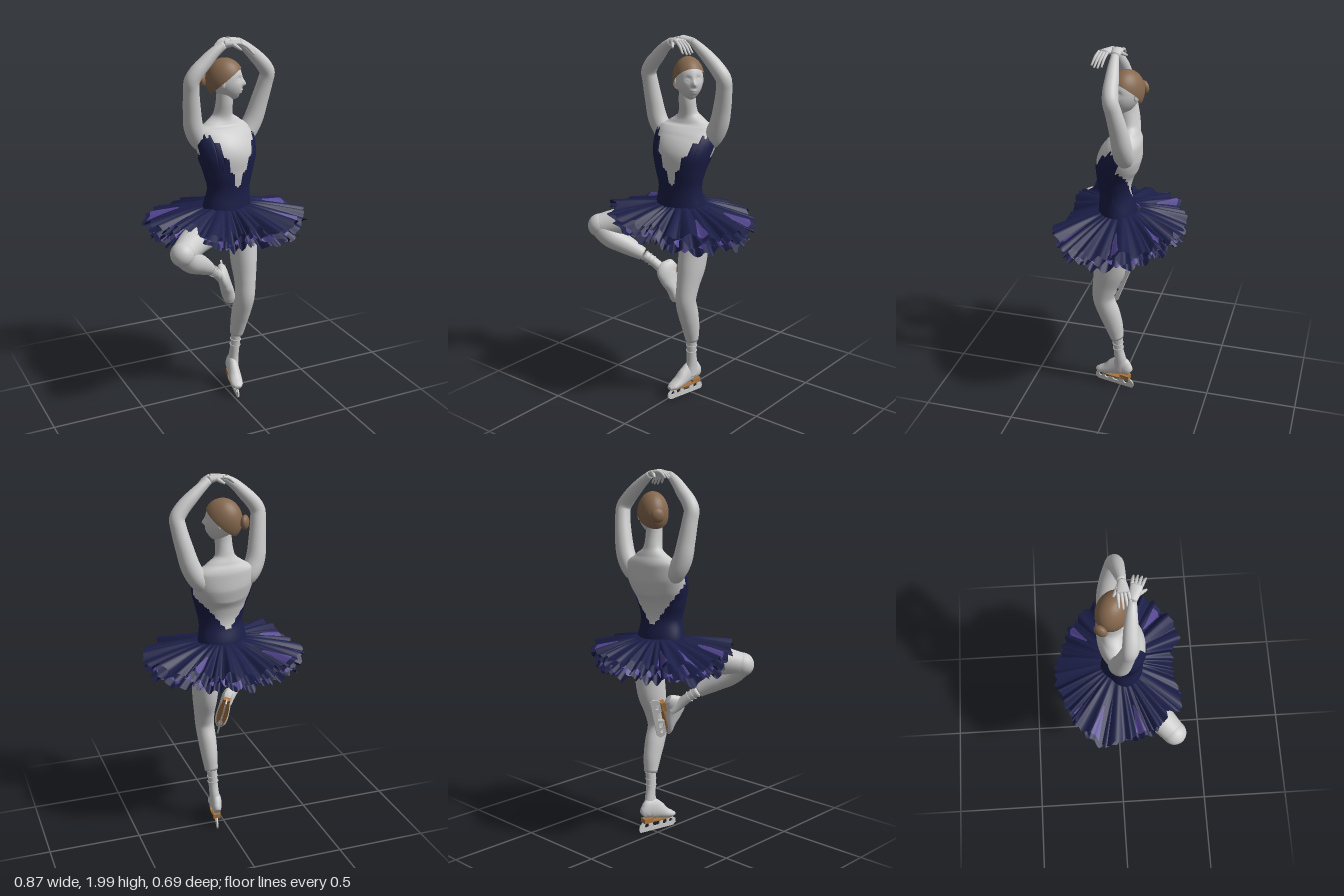
import * as THREE from 'three';
import { mergeVertices } from 'three/addons/utils/BufferGeometryUtils.js';

const V = (x, y, z) => new THREE.Vector3(x, y, z);
const paint = (color, side = THREE.FrontSide) => new THREE.MeshStandardMaterial({ color, side });
const grey = paint(0xcccccc), brown = paint(0xa9743f), hairMat = paint(0x86694f, THREE.DoubleSide);
const navy = paint(0x1b1e47, THREE.DoubleSide), purple = paint(0x51438f, THREE.DoubleSide);
const TAU = Math.PI * 2;
const bell = (d, w) => Math.exp(-(d * d) / (w * w));

function mesh(name, geo, mat, parent) {
  const m = new THREE.Mesh(geo, mat);
  m.name = name;
  parent.add(m);
  return m;
}

// Weld shared vertices and smooth the normals
function smooth(geo) {
  geo.deleteAttribute('uv');
  geo.deleteAttribute('normal');
  const g = mergeVertices(geo, 1e-5);
  g.computeVertexNormals();
  return g;
}

// Surface from a rule fn(u, v) -> Vector3
function grid(nu, nv, fn) {
  const pos = [], idx = [];
  for (let j = 0; j <= nv; j++)
    for (let i = 0; i <= nu; i++) pos.push(...fn(i / nu, j / nv).toArray());
  for (let j = 0; j < nv; j++)
    for (let i = 0; i < nu; i++) {
      const a = j * (nu + 1) + i, b = a + nu + 1;
      idx.push(a, a + 1, b, a + 1, b + 1, b);
    }
  const g = new THREE.BufferGeometry();
  g.setAttribute('position', new THREE.Float32BufferAttribute(pos, 3));
  g.setIndex(idx);
  return smooth(g);
}

// Elliptical sections along a path; stations are [x, y, z, halfWidth, halfDepth]
function track(st, ref) {
  const path = new THREE.CatmullRomCurve3(st.map(s => V(s[0], s[1], s[2])));
  const size = new THREE.CatmullRomCurve3(st.map(s => V(s[3], s[4] ?? s[3], 0)), false, 'catmullrom', 0.4);
  return {
    path,
    point(t, ang, grow = 0, k = 1) {
      const T = path.getTangent(t), r = size.getPoint(t);
      const side = V().crossVectors(ref, T).normalize(), n = V().crossVectors(T, side);
      return path.getPoint(t).addScaledVector(side, k * (r.x + grow) * Math.cos(ang))
        .addScaledVector(n, k * (r.y + grow) * Math.sin(ang));
    },
  };
}
function sweep(st, ref = V(0, 0, 1), nu = 28, nv = 40) {
  const tr = track(st, ref);
  return grid(nu, nv + 2, (u, v) => {
    const j = Math.round(v * (nv + 2));
    const t = THREE.MathUtils.clamp((j - 1) / nv, 0, 1);
    return tr.point(t, u * TAU, 0, j === 0 || j === nv + 2 ? 0 : 1);
  });
}

// Skating boot: sole at the bottom, toe towards +z
function skate() {
  const g = new THREE.Group();
  mesh('bootFoot', sweep([[0, .1, -.06, .018, .026], [0, .115, -.042, .027, .043], [0, .13, -.01, .031, .062],
    [0, .115, .035, .033, .05], [0, .088, .085, .036, .031], [0, .074, .125, .032, .02], [0, .068, .15, .016, .01]], V(0, 1, 0)), grey, g);
  mesh('bootHeel', new THREE.BoxGeometry(.04, .026, .055), brown, g).position.set(0, .066, -.032);
  const sole = new THREE.Shape();
  sole.absellipse(0, .045, .029, .1, 0, TAU);
  const soleGeo = new THREE.ExtrudeGeometry(sole, { depth: .007, bevelEnabled: false, curveSegments: 20 });
  mesh('bootSole', soleGeo.rotateX(Math.PI / 2), brown, g).position.y = .064;
  const s = new THREE.Shape([[-.085, .014], [-.078, 0], [.14, 0], [.16, .015], [.157, .038], [.13, .058], [.06, .06], [.045, .022],
    [.01, .022], [-.002, .056], [-.06, .056], [-.082, .035]].map(p => new THREE.Vector2(...p)));
  for (const [x, r] of [[-.035, .014], [.085, .014], [.125, .011]])
    s.holes.push(new THREE.Path().absarc(x, .034, r, 0, TAU, true));
  const blade = new THREE.ExtrudeGeometry(s, { depth: .008, bevelEnabled: false, curveSegments: 10 });
  mesh('blade', blade.translate(0, 0, -.004).rotateY(-Math.PI / 2), grey, g);
  return g;
}

// Boot shaft with thin lace bands
function shaft(name, st, ref, parent) {
  mesh(name, sweep(st, ref), grey, parent);
  const path = track(st, ref).path;
  for (const t of [.04, .16, .28]) {
    const ring = mesh('laceBand', new THREE.TorusGeometry(.029, .0025, 6, 24), grey, parent);
    ring.position.copy(path.getPoint(t));
    ring.quaternion.setFromUnitVectors(V(0, 0, 1), path.getTangent(t));
  }
}

// Palm, four fingers and a thumb
function hand(name, wrist, knuckle, tip, across, parent) {
  const g = new THREE.Group();
  g.name = name;
  parent.add(g);
  const up = V(0, 1, 0), mid = wrist.clone().lerp(knuckle, .5);
  mesh('palm', sweep([[...wrist, .02, .019], [...mid, .027, .016], [...knuckle, .03, .012]], up, 20, 12), grey, g);
  for (let k = -1.5; k < 2; k++) {
    const a = knuckle.clone().addScaledVector(across, k * .0155);
    const c = tip.clone().addScaledVector(across, k * .02).lerp(a, Math.abs(k) * .1);
    const b = a.clone().lerp(c, .5).add(V(0, .008, 0));
    mesh('finger', sweep([[...a, .0085], [...b, .0075], [...c, .005]], up, 10, 10), grey, g);
  }
  const a = mid.clone().addScaledVector(across, .02), c = knuckle.clone().addScaledVector(across, .045).add(V(0, -.03, 0));
  mesh('thumb', sweep([[...a, .011], [...a.clone().lerp(c, .5), .009], [...c, .005]], up, 10, 10), grey, g);
}

// Uneven hem: [degrees from the front towards the left, radius]
const HEM = [[0, .28], [15, .295], [27, .375], [45, .395], [63, .425], [85, .43], [100, .41], [113, .385], [137, .345], [160, .32],
  [187, .345], [215, .35], [233, .395], [257, .44], [272, .4], [292, .41], [302, .4], [311, .355], [318, .405], [330, .36], [345, .295], [360, .28]];
function hemRadius(a) {
  const d = THREE.MathUtils.euclideanModulo(a * 360 / TAU, 360);
  const i = HEM.findIndex(h => h[0] > d), [d0, r0] = HEM[i - 1], [d1, r1] = HEM[i];
  return THREE.MathUtils.lerp(r0, r1, THREE.MathUtils.smoothstep(d, d0, d1));
}

// Pleated skirt surface: direction a (0 = front), t from waist to hem
function skirtPoint(a, t, L) {
  const thigh = bell(Math.atan2(Math.sin(a + .93), Math.cos(a + .93)), .32);
  const saw = a * 47 / TAU + L.phase, tooth = Math.abs(saw - Math.floor(saw) - .5) - .25;
  const R = L.scale * hemRadius(a) + .006 * Math.sin(a * 19 + L.phase * 9) + .035 * tooth;
  const r = .1 + (R - .1) * t;
  const pleat = Math.sin(a * 28 + 1.8 * Math.sin(a * 5) + L.phase * 7) + .8 * Math.sin(a * 11 + L.phase * 4);
  const y = 1.118 - L.drop * Math.pow(t, 1.2) + .015 * t * pleat + (L.drop * .6 + .01) * thigh * t + L.lift;
  return V(r * Math.sin(a), y, .003 + r * Math.cos(a));
}

export function createModel() {
  const model = new THREE.Group();

  // Torso and neck
  const lean = V(.15, 0, 1);
  const torso = [[0, 1.0, .02, .125, .095], [0, 1.1, .025, .132, .096], [.005, 1.21, .034, .116, .08], [.005, 1.3, .034, .136, .094],
    [.005, 1.38, .021, .159, .113], [.005, 1.45, -.01, .171, .103], [.005, 1.515, -.034, .162, .075], [.005, 1.55, -.036, .105, .056],
    [.005, 1.59, -.032, .053, .046], [.008, 1.66, -.02, .044, .045], [.01, 1.72, -.018, .043, .045]];
  mesh('torso', sweep(torso, lean, 48, 70), grey, model);

  // Bodice with a deep jagged neckline and open back
  const body = track(torso, lean);
  const heightToT = y => {
    let lo = 0, hi = 1;
    for (let i = 0; i < 18; i++) {
      const m = (lo + hi) / 2;
      if (body.path.getPoint(m).y < y) lo = m; else hi = m;
    }
    return lo;
  };
  const neckline = ang => {
    const q = Math.floor(ang / TAU * 60 + .5) / 60 * TAU, f = Math.sin(q), s = Math.abs(Math.cos(q));
    const jag = .012 * (Math.round(q / TAU * 60) % 2 ? 1 : -1);
    return f > 0 ? Math.min(1.22 + .33 * s, 1.475, 1.4 + .8 * f) + jag : 1.18 + .22 * Math.pow(s, 1.5) + jag * .4;
  };
  mesh('bodice', grid(180, 24, (u, v) => {
    const y = THREE.MathUtils.lerp(1.05, neckline(u * TAU), v);
    return body.point(heightToT(y), u * TAU, .006);
  }), navy, model);
  const briefs = mesh('briefs', new THREE.SphereGeometry(1, 32, 20), navy, model);
  briefs.scale.set(.142, .115, .108);
  briefs.position.set(.005, 1.035, .012);

  // Tutu layers
  const layers = [
    { name: 'skirtTop', drop: .08, scale: 1, phase: 0, lift: 0, mat: navy },
    { name: 'skirtMiddle', drop: .11, scale: .98, phase: .4, lift: -.006, mat: navy },
    { name: 'skirtLining', drop: .13, scale: .89, phase: .75, lift: -.014, mat: purple },
    { name: 'skirtBottom', drop: .15, scale: .92, phase: .2, lift: -.02, mat: navy }];
  for (const L of layers) mesh(L.name, grid(424, 8, (u, v) => skirtPoint(u * TAU, v, L)), L.mat, model);
  // Purple gores between the pleats, above and below
  const gore = (a, width, L) =>
    mesh('skirtGore', grid(12, 8, (u, v) => skirtPoint(a + (u - .5) * width * (.25 + v), .45 + .47 * v, L)), purple, model);
  for (const a of [-2.32, 2.42, -1.95, .94, -1.32, 1.72]) gore(a, .11, { ...layers[0], lift: .004 });
  for (let i = 0; i < 16; i++) gore(i * TAU / 16 + .1 * Math.sin(i * 3), .14, { ...layers[3], lift: -.024 });

  // Head, turned to its left
  const head = new THREE.Group();
  head.name = 'head';
  head.position.set(.012, 1.77, -.025);
  head.rotation.y = .98;
  model.add(head);
  const skull = new THREE.SphereGeometry(1, 72, 72), p = skull.attributes.position;
  for (let i = 0; i < p.count; i++) {
    const x = p.getX(i), y = p.getY(i), z = p.getZ(i), low = Math.max(0, -y);
    let Z = .092 * z * (z < 0 ? 1 - .45 * low : 1) + .016 * low;
    if (z > 0) {
      Z -= .009 * (bell(x - .38, .2) + bell(x + .38, .2)) * bell(y - .08, .13);
      Z += .005 * (bell(x - .38, .12) + bell(x + .38, .12)) * bell(y - .04, .07);
      Z += .018 * bell(x, .14) * bell(y + .2, y < -.2 ? .08 : .24);
      Z += .006 * bell(x, .24) * (bell(y + .48, .05) + bell(y + .6, .05)) + .006 * bell(x, .25) * bell(y + .87, .12);
    }
    p.setXYZ(i, .073 * x * (1 - .22 * low * low), .108 * y, Z);
  }
  mesh('face', smooth(skull), grey, head);
  mesh('hair', new THREE.SphereGeometry(1, 40, 24, 0, TAU, 0, Math.PI * .53).rotateX(-.66).scale(.081, .112, .101),
    hairMat, head);
  mesh('bun', new THREE.SphereGeometry(1, 24, 16).scale(.036, .038, .022), hairMat, head).position.set(0, -.005, -.114);
  for (const s of [-1, 1])
    mesh('ear', new THREE.SphereGeometry(1, 16, 12).scale(.007, .022, .013), grey, head).position.set(s * .073, -.014, .002);

  // Arms raised overhead
  mesh('leftArm', sweep([[.09, 1.41, -.035, .03], [.145, 1.465, -.047, .05], [.19, 1.54, -.048, .051], [.22, 1.64, -.038, .046],
    [.243, 1.74, -.02, .041], [.248, 1.79, -.008, .04], [.222, 1.832, 0, .039], [.175, 1.88, .005, .035], [.12, 1.928, .012, .028],
    [.07, 1.966, .018, .02]]), grey, model);
  mesh('rightArm', sweep([[-.08, 1.41, 0, .03], [-.135, 1.465, -.01, .05], [-.175, 1.54, 0, .051], [-.19, 1.64, .014, .046],
    [-.199, 1.74, .03, .041], [-.2, 1.79, .04, .04], [-.176, 1.832, .045, .039], [-.13, 1.88, .048, .035], [-.08, 1.928, .053, .028],
    [-.03, 1.963, .06, .02]]), grey, model);
  hand('leftHand', V(.07, 1.966, .018), V(.005, 1.982, .02), V(-.062, 1.945, .028), V(-.1, 0, -1).normalize(), model);
  hand('rightHand', V(-.03, 1.963, .06), V(.045, 1.972, .085), V(.118, 1.908, .105), V(-.3, 0, 1).normalize(), model);

  // Standing leg
  mesh('leftLeg', sweep([[.08, 1.03, .01, .075, .085], [.092, .94, .024, .075, .087], [.092, .79, .045, .068, .088],
    [.087, .67, .075, .056, .068], [.082, .59, .084, .052, .06], [.077, .5, .055, .05, .06], [.073, .42, .03, .045, .052],
    [.068, .335, .012, .037, .037]]), grey, model);
  mesh('briefsLeg', sweep([[.08, 1.03, .01, .08, .09], [.091, .955, .022, .079, .091]]), navy, model);
  shaft('leftBootShaft', [[.067, .345, .011, .028, .03], [.06, .25, .006, .026, .028], [.056, .18, -.003, .027, .035],
    [.05, .11, -.006, .03, .05]], V(0, 0, 1), model);
  const leftSkate = skate();
  leftSkate.name = 'leftSkate';
  leftSkate.position.set(.046, 0, 0);
  leftSkate.rotation.y = -.21;
  model.add(leftSkate);

  // Raised leg, knee out to the side
  const knee = [-.36, .975, .272];
  mesh('rightThigh', sweep([[-.05, 1.0, .01, .08], [-.15, 1.0, .09, .084], [-.26, .998, .185, .076], [...knee, .063]], V(0, 1, 0)), grey, model);
  mesh('rightKnee', new THREE.SphereGeometry(.064, 28, 20), grey, model).position.set(...knee);
  mesh('rightShin', sweep([[...knee, .06], [-.305, .92, .25, .06], [-.24, .875, .205, .052], [-.165, .82, .148, .036]], V(0, 1, 0)), grey, model);
  shaft('rightBootShaft', [[-.16, .816, .144, .028], [-.115, .777, .115, .026], [-.068, .732, .09, .029],
    [-.035, .7, .065, .031]], V(0, 1, 0), model);
  const toe = V(.1, -.93, .34).normalize(), up = V(-.45, .2, .88);
  up.addScaledVector(toe, -up.dot(toe)).normalize();
  const rightSkate = skate();
  rightSkate.name = 'rightSkate';
  rightSkate.quaternion.setFromRotationMatrix(new THREE.Matrix4().makeBasis(V().crossVectors(up, toe), up, toe));
  rightSkate.position.set(.013, .685, -.028);
  model.add(rightSkate);

  return model;
}
